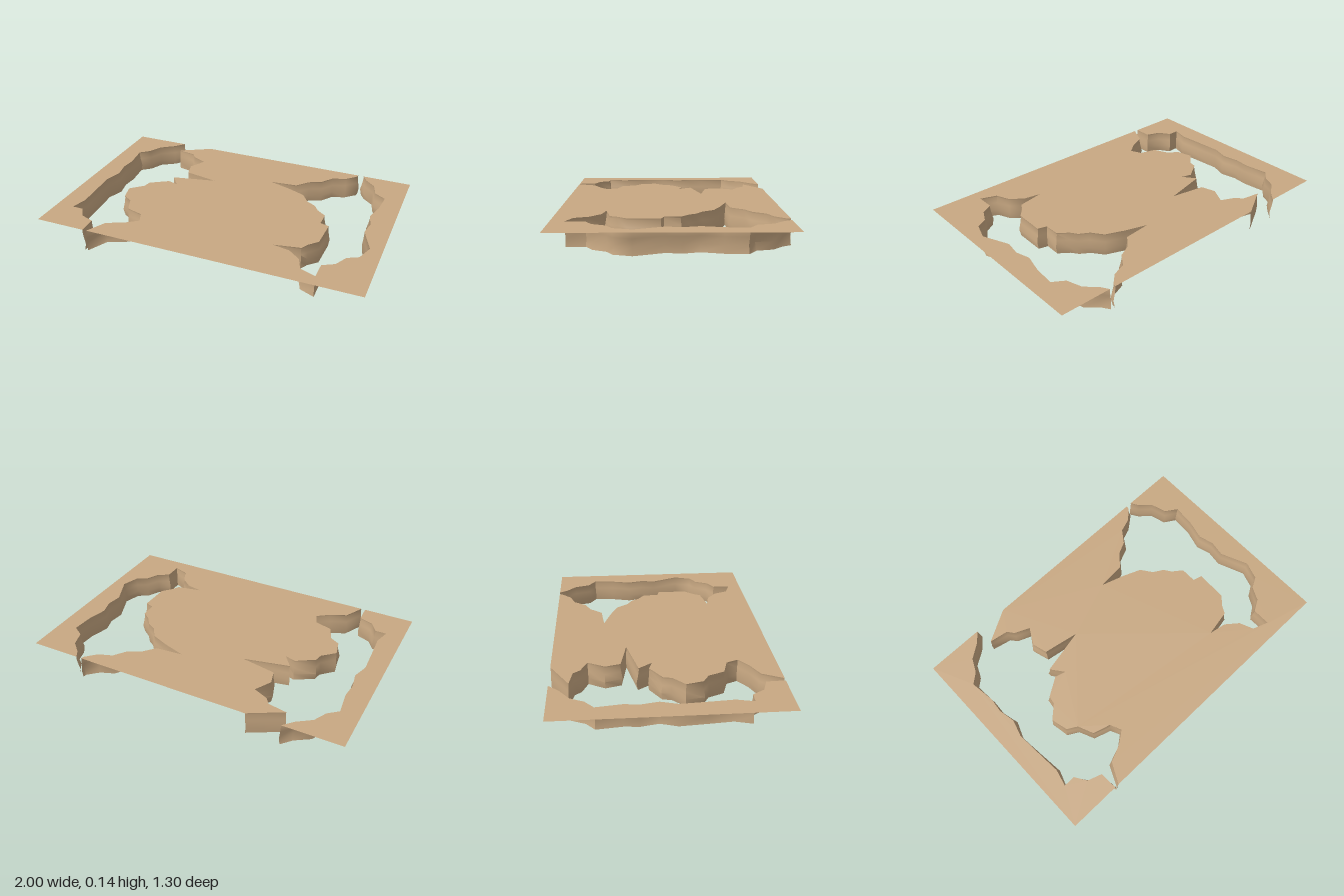
import * as THREE from 'three';
import { toCreasedNormals } from 'three/addons/utils/BufferGeometryUtils.js';

const TOP = 0.14, W = 1, D = 0.65;

// Broken edges as x, z points; the chasm always lies on the same side of the path
const leftBankEdge = [
  -0.645, -0.65, -0.70, -0.59, -0.785, -0.53, -0.825, -0.45, -0.885, -0.40, -0.865, -0.25,
  -0.875, -0.16, -0.855, -0.06, -0.885, 0.04, -0.875, 0.20, -0.865, 0.34, -0.89, 0.44,
  -0.82, 0.44, -0.775, 0.51, -0.69, 0.54, -0.685, 0.65,
];
const centreEdge = [
  -0.66, 0.65, -0.60, 0.53, -0.50, 0.485, -0.425, 0.43, -0.455, 0.36, -0.56, 0.33,
  -0.60, 0.235, -0.66, 0.20, -0.685, 0.10, -0.61, 0.03, -0.60, -0.02, -0.49, -0.09,
  -0.425, -0.07, -0.485, -0.15, -0.21, -0.21, -0.425, -0.25, -0.45, -0.34, -0.395, -0.44,
  -0.485, -0.48, -0.515, -0.52, -0.63, -0.54, -0.435, -0.65,
];
const rightChasmEdge = [
  0.655, -0.65, 0.65, -0.63, 0.59, -0.57, 0.505, -0.54, 0.45, -0.465, 0.375, -0.43,
  0.31, -0.355, 0.14, -0.34, 0.28, -0.295, 0.39, -0.25, 0.44, -0.18, 0.50, -0.145,
  0.53, -0.10, 0.59, -0.055, 0.59, 0.04, 0.645, 0.055, 0.64, 0.24, 0.59, 0.295,
  0.565, 0.34, 0.405, 0.37, 0.51, 0.39, 0.585, 0.45, 0.62, 0.535, 0.715, 0.57,
  0.715, 0.46, 0.785, 0.42, 0.825, 0.34, 0.89, 0.305, 0.925, 0.20, 0.855, 0.035,
  0.87, -0.06, 0.845, -0.15, 0.875, -0.27, 0.885, -0.40, 0.815, -0.445, 0.785, -0.54,
  0.72, -0.60, 0.69, -0.65,
];

const toPoints = (a) => {
  const pts = [];
  for (let i = 0; i < a.length; i += 2) pts.push(new THREE.Vector2(a[i], a[i + 1]));
  return pts;
};

// Flat ground sheet from an x, z outline
function sheet(points) {
  const shape = new THREE.Shape(points.map((p) => new THREE.Vector2(p.x, -p.y)));
  return new THREE.ShapeGeometry(shape).rotateX(-Math.PI / 2).translate(0, TOP, 0);
}

// Open cliff skirt hanging below a broken edge, gently waved in its height
function cliff(points) {
  const rows = [[TOP, 0], [0.13, -0.002], [0.09, 0.003], [0.045, 0.011], [0, 0.004]];
  const pos = [], index = [], n = points.length, m = rows.length;
  points.forEach((p, i) => {
    const a = points[Math.max(i - 1, 0)], b = points[Math.min(i + 1, n - 1)];
    const t = b.clone().sub(a).normalize();
    for (const [y, out] of rows) {
      const d = out * (1 + 0.5 * Math.sin(i * 2.1));
      pos.push(p.x + t.y * d, y, THREE.MathUtils.clamp(p.y - t.x * d, -D, D));
    }
    if (i === n - 1) return;
    for (let j = 0; j < m - 1; j++) {
      const q = i * m + j;
      index.push(q, q + m, q + 1, q + m, q + m + 1, q + 1);
    }
  });
  const g = new THREE.BufferGeometry();
  g.setAttribute('position', new THREE.Float32BufferAttribute(pos, 3));
  g.setIndex(index);
  return toCreasedNormals(g, 0.9);
}

export function createModel() {
  const model = new THREE.Group();
  model.name = 'crackedGround';
  const earth = new THREE.MeshStandardMaterial({ color: 0xc8a882, side: THREE.DoubleSide });
  earth.name = 'sandyEarth';

  const add = (name, geometry) => {
    const mesh = new THREE.Mesh(geometry, earth);
    mesh.name = name;
    model.add(mesh);
  };
  const left = toPoints(leftBankEdge), centre = toPoints(centreEdge), right = toPoints(rightChasmEdge);
  const corner = (x, z) => new THREE.Vector2(x, z);

  // Ground sheets: separate left bank, and the centre joined to the right bank
  add('leftBankGround', sheet([...left, corner(-W, D), corner(-W, -D)]));
  add('mainGround', sheet([...centre, ...right, corner(W, -D), corner(W, D)]));

  // Cliff walls along the cracks
  add('leftBankCliff', cliff(left));
  add('centreCliff', cliff(centre));
  add('rightChasmCliff', cliff(right));
  return model;
}
